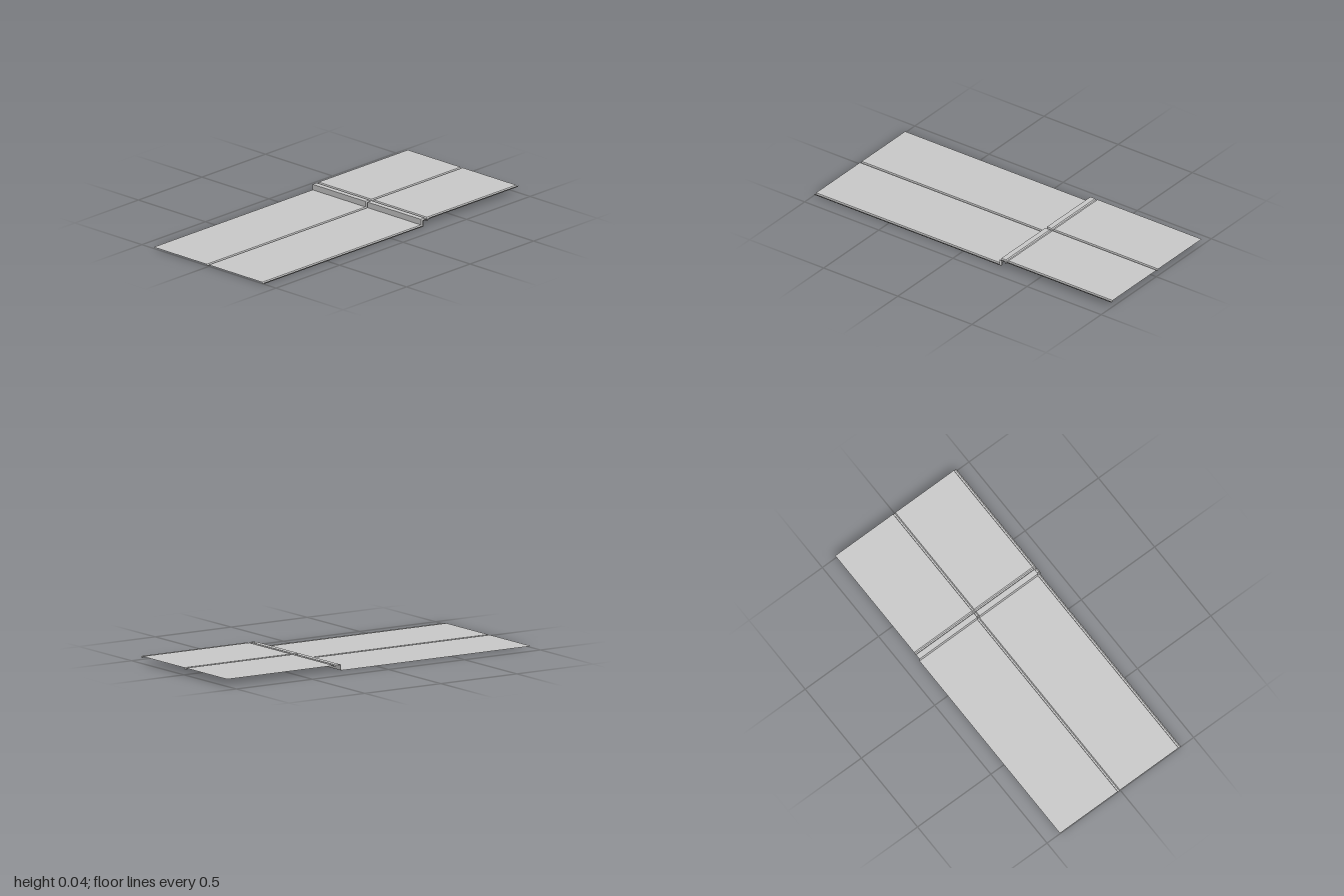
import * as THREE from 'three';

const FLOOR = 0.008, TOP = 0.04, DEPTH = 0.008;

// Side profiles as [z, y, inset in z, inset in y]; insets apply inside the lengthwise seams
const PROFILES = {
  lowerDeck: [[1, FLOOR, 0, 1], [-0.25, FLOOR, 1, 1]],
  riser: [[-0.25, FLOOR, 1, 1], [-0.25, TOP, 1, 1]],
  upperDeck: [
    [-0.25, TOP, 1, 1], [-0.281, TOP, 0, 1], [-0.285, TOP - 0.007, 0, 1],
    [-0.293, TOP - 0.007, 0, 1], [-0.298, TOP, 0, 1], [-1, TOP, 0, 1],
  ],
};

// Cross profile of one panel as [x, depth]: flat sheet ending in a pressed channel
function panelSection(left, right) {
  return [[left, 0], [right - 0.016, 0], [right - 0.013, 1], [right - 0.004, 1], [right, 0]];
}

// Loft the cross profile along the side profile
function sheetGeometry(section, profile) {
  const positions = [], index = [], n = section.length;
  for (const [z, y, insetZ, insetY] of profile) {
    for (const [x, d] of section) {
      positions.push(x, y - d * insetY * DEPTH, z - d * insetZ * DEPTH);
    }
  }
  for (let i = 0; i < profile.length - 1; i++) {
    for (let j = 0; j < n - 1; j++) {
      const a = i * n + j, b = a + 1, c = b + n, d = a + n;
      index.push(a, b, c, a, c, d);
    }
  }
  const geometry = new THREE.BufferGeometry();
  geometry.setAttribute('position', new THREE.Float32BufferAttribute(positions, 3));
  geometry.setIndex(index);
  const flat = geometry.toNonIndexed();
  flat.computeVertexNormals();
  return flat;
}

export function createModel() {
  const model = new THREE.Group();
  model.name = 'steppedFloor';
  const material = new THREE.MeshStandardMaterial({
    color: 0xcccccc, flatShading: true, side: THREE.DoubleSide,
  });

  // Two neighbouring panels, each stepping up towards the back
  const panels = [['rightPanel', -0.412, -0.002], ['leftPanel', -0.002, 0.412]];
  for (const [name, left, right] of panels) {
    const panel = new THREE.Group();
    panel.name = name;
    const section = panelSection(left, right);
    for (const [part, profile] of Object.entries(PROFILES)) {
      const mesh = new THREE.Mesh(sheetGeometry(section, profile), material);
      mesh.name = part;
      panel.add(mesh);
    }
    model.add(panel);
  }
  return model;
}
